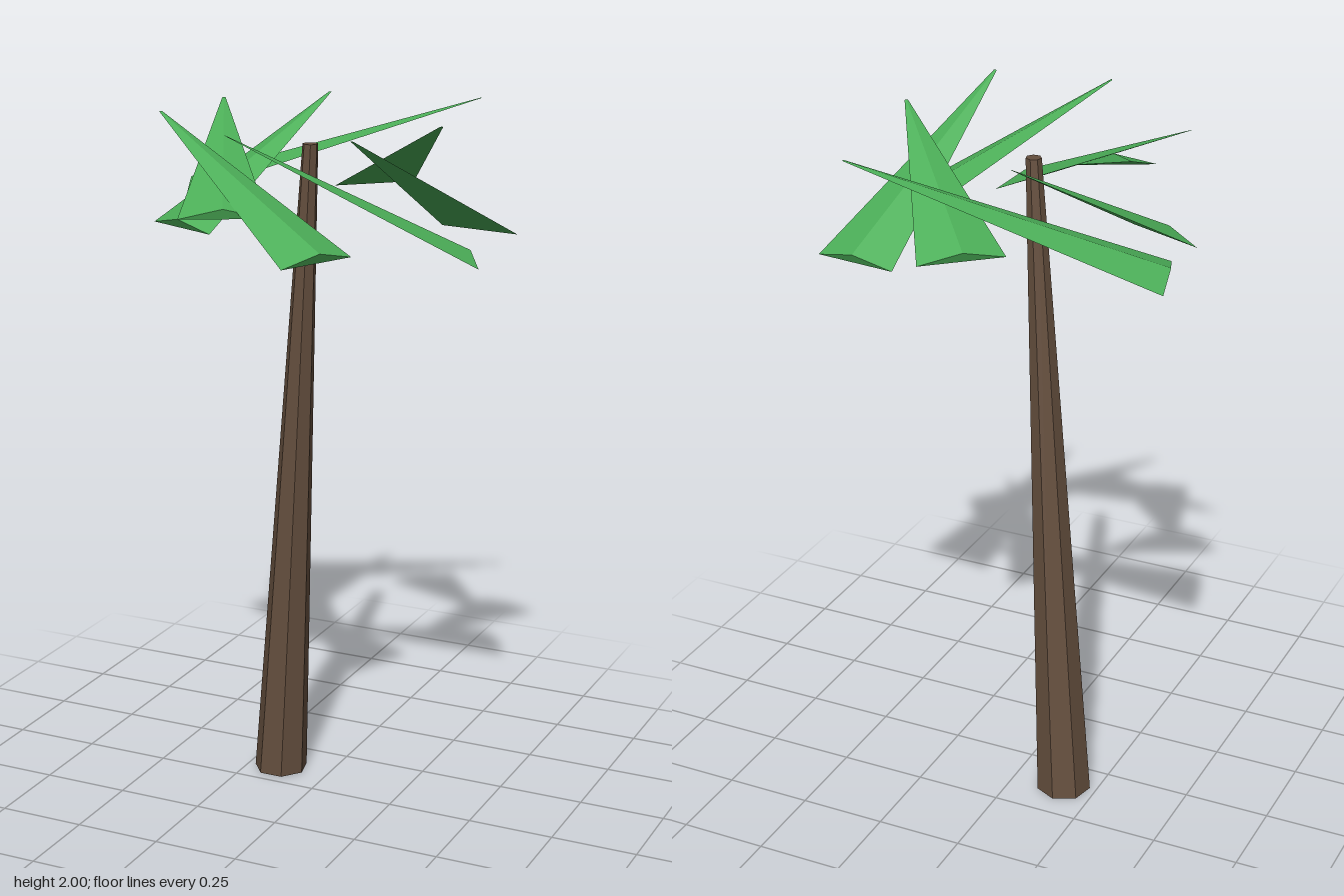
import * as THREE from 'three';

const BARK = new THREE.MeshStandardMaterial({ color: 0x654f3e, flatShading: true });
const LEAF = new THREE.MeshStandardMaterial({ color: 0x4caf58, flatShading: true });

// Seven-sided tapering trunk, sheared so both ends stay level
function makeTrunk() {
  const height = 1.91;
  const foot = { x: -0.152, z: -0.105 };
  const top = { x: -0.023, z: -0.04 };
  const geo = new THREE.CylinderGeometry(0.022, 0.079, height, 7, 1, false, Math.PI / 7);
  geo.translate(0, height / 2, 0);
  const pos = geo.attributes.position;
  for (let i = 0; i < pos.count; i++) {
    const t = pos.getY(i) / height;
    pos.setX(i, pos.getX(i) + THREE.MathUtils.lerp(foot.x, top.x, t));
    pos.setZ(i, pos.getZ(i) + THREE.MathUtils.lerp(foot.z, top.z, t));
  }
  geo.computeVertexNormals();
  const trunk = new THREE.Mesh(geo, BARK);
  trunk.name = 'trunk';
  return trunk;
}

// Flattened three-sided spike: flat underside, ridge on top, wide end at base
function makeFrond(base, tip) {
  const from = new THREE.Vector3(...base);
  const along = new THREE.Vector3(...tip).sub(from);
  const length = along.length();
  const geo = new THREE.CylinderGeometry(0.04, 1, length, 3);
  geo.scale(0.1375, 1, 0.02);
  geo.translate(0, length / 2, 0.01);

  along.normalize();
  const side = new THREE.Vector3().crossVectors(along, new THREE.Vector3(0, 1, 0)).normalize();
  const up = new THREE.Vector3().crossVectors(side, along);
  geo.applyMatrix4(new THREE.Matrix4().makeBasis(side, along, up).setPosition(from));
  return new THREE.Mesh(geo, LEAF);
}

export function createModel() {
  const model = new THREE.Group();
  model.name = 'palmTree';
  model.add(makeTrunk());

  // Crown: each frond runs from its low wide end to its high thin end
  const crown = new THREE.Group();
  crown.name = 'crown';
  const fronds = [
    [[-0.49, 1.72, -0.24], [0.305, 1.985, -0.485]],
    [[0.01, 1.74, -0.405], [0.39, 1.985, 0.025]],
    [[0.365, 1.65, -0.33], [0.28, 1.99, 0.36]],
    [[0.455, 1.64, 0.005], [-0.055, 1.99, 0.415]],
    [[0.19, 1.68, 0.375], [-0.41, 1.985, 0.105]],
    [[-0.085, 1.77, 0.365], [-0.363, 1.985, -0.187]],
    [[-0.335, 1.68, 0.13], [-0.12, 1.99, -0.387]],
  ];
  fronds.forEach(([base, tip], i) => {
    const frond = makeFrond(base, tip);
    frond.name = `frond${i + 1}`;
    crown.add(frond);
  });
  model.add(crown);
  return model;
}
